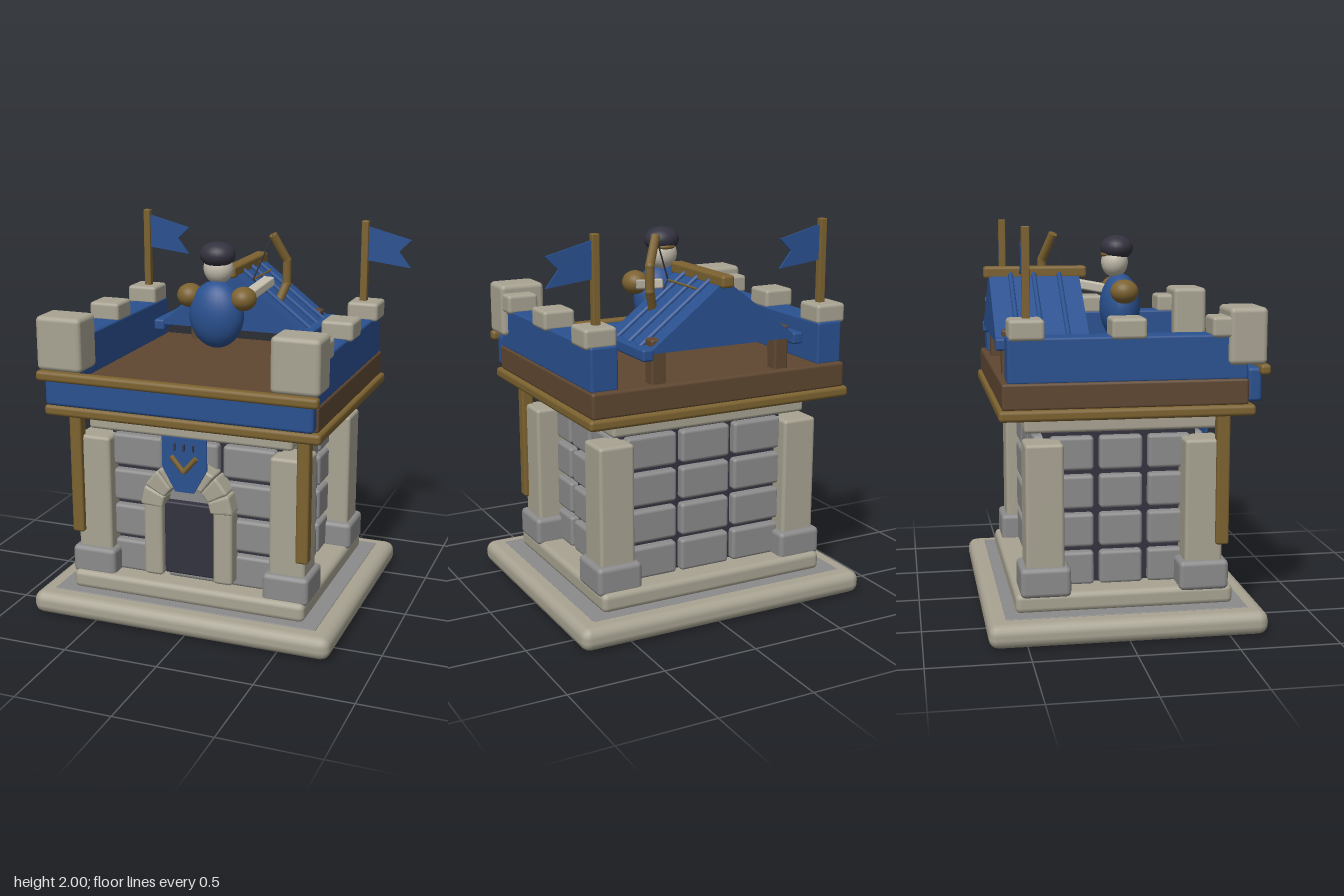
import * as THREE from 'three';
import { RoundedBoxGeometry } from 'three/addons/geometries/RoundedBoxGeometry.js';

const mat = (name, color) => Object.assign(new THREE.MeshStandardMaterial({ color }), { name });

export function createModel() {
  const stone = mat('pale stone', 0xa8a392);
  const grey = mat('grey stone', 0x8b8b8b);
  const dark = mat('dark slate', 0x33323f);
  const blue = mat('blue', 0x2a5190);
  const wood = mat('golden wood', 0x7c6230);
  const brown = mat('brown plank', 0x5f4731);
  const skin = mat('skin', 0xc2bcac);
  const cloth = mat('flag blue', 0x2a5190);
  cloth.side = THREE.DoubleSide;

  const root = new THREE.Group();
  const tower = new THREE.Group();
  tower.name = 'tower';
  tower.position.x = -0.038;
  root.add(tower);

  const add = (name, geo, m, x = 0, y = 0, z = 0) => {
    const mesh = new THREE.Mesh(geo, m);
    mesh.name = name;
    mesh.position.set(x, y, z);
    tower.add(mesh);
    return mesh;
  };
  // rounded box from its limits
  const box = (name, m, x0, x1, y0, y1, z0, z1, r = 0.018) => add(name,
    new RoundedBoxGeometry(x1 - x0, y1 - y0, z1 - z0, 2, r), m,
    (x0 + x1) / 2, (y0 + y1) / 2, (z0 + z1) / 2);
  // the same box on both sides
  const pair = (name, m, x0, x1, ...rest) => {
    box(name, m, x0, x1, ...rest);
    box(name, m, -x1, -x0, ...rest);
  };
  const ball = (name, m, x, y, z, rx, ry, rz) => {
    const b = add(name, new THREE.SphereGeometry(1, 24, 16), m, x, y, z);
    b.scale.set(rx, ry, rz);
    return b;
  };
  // straight rod between two points
  const rod = (name, m, a, b, r, sides = 8) => {
    const p = new THREE.Vector3(...a), q = new THREE.Vector3(...b);
    const d = q.clone().sub(p);
    const c = p.add(q).multiplyScalar(0.5);
    const mesh = add(name, new THREE.CylinderGeometry(r, r, d.length(), sides), m, c.x, c.y, c.z);
    mesh.quaternion.setFromUnitVectors(new THREE.Vector3(0, 1, 0), d.normalize());
    return mesh;
  };
  const plate = (points, depth) => new THREE.ExtrudeGeometry(
    new THREE.Shape(points.map(p => new THREE.Vector2(...p))), { depth, bevelEnabled: false });

  // foundation
  box('baseSlab', stone, -0.813, 0.813, 0.004, 0.124, -0.69, 0.69, 0.05);
  box('basePaving', grey, -0.72, 0.72, 0, 0.128, -0.6, 0.6, 0.004);
  box('step', stone, -0.64, 0.64, 0.12, 0.22, -0.545, 0.545, 0.03);

  // walls: dark core with stone blocks on all four sides
  box('wallCore', dark, -0.465, 0.465, 0.2, 1.01, -0.385, 0.385, 0.01);
  for (const y of [0.3, 0.495, 0.69, 0.885]) {
    for (const i of [-1, 0, 1]) for (const s of [-1, 1]) {
      box('wallBlock', grey, i * 0.307 - 0.14, i * 0.307 + 0.14, y - 0.085, y + 0.085, s * 0.395 - 0.035, s * 0.395 + 0.035);
      box('wallBlock', grey, s * 0.475 - 0.035, s * 0.475 + 0.035, y - 0.085, y + 0.085, i * 0.245 - 0.108, i * 0.245 + 0.108);
    }
  }
  for (const z of [-0.395, 0.395]) {
    pair('cornerPillar', stone, 0.435, 0.625, 0.3, 0.96, z - 0.095, z + 0.095);
    pair('pillarFoot', grey, 0.408, 0.652, 0.2, 0.35, z - 0.125, z + 0.125, 0.025);
  }
  box('cornice', stone, -0.55, 0.55, 1.0, 1.1, -0.485, 0.485);
  pair('frontPost', wood, 0.583, 0.648, 0.43, 1.1, 0.452, 0.518, 0.012);

  // doorway and arch
  box('door', dark, -0.14, 0.14, 0.255, 0.65, 0.38, 0.47, 0.01);
  pair('doorJamb', stone, 0.14, 0.243, 0.245, 0.645, 0.4, 0.505);
  for (let i = 0; i < 7; i++) {
    const a = (i + 0.5) * Math.PI / 7;
    const wedge = new RoundedBoxGeometry(0.12, 0.096, 0.12, 2, 0.014);
    // widen each stone toward its outer end
    const p = wedge.attributes.position;
    for (let k = 0; k < p.count; k++) p.setY(k, p.getY(k) * (0.88 + p.getX(k) * 4.2));
    wedge.computeVertexNormals();
    add('archStone', wedge, stone, Math.cos(a) * 0.187, 0.632 + Math.sin(a) * 0.187, 0.46).rotation.z = a;
  }

  // banner over the door
  add('banner', plate([[-0.12, 1.02], [-0.12, 0.86], [-0.05, 0.735], [0.05, 0.735], [0.12, 0.86], [0.12, 1.02]], 0.012), blue, 0, 0, 0.521);
  for (const x of [-0.05, 0, 0.05]) box('bannerSlot', dark, x - 0.005, x + 0.005, 0.955, 0.992, 0.532, 0.54, 0.002);
  for (const s of [-1, 1]) rod('chevron', wood, [s * 0.068, 0.925, 0.54], [0, 0.845, 0.54], 0.014);

  // platform
  box('lowerTrim', wood, -0.732, 0.732, 1.09, 1.145, -0.622, 0.622);
  box('deck', brown, -0.712, 0.712, 1.14, 1.272, -0.605, 0.59, 0.015);
  box('frontParapet', blue, -0.705, 0.705, 1.155, 1.322, 0.585, 0.655);
  box('frontRail', wood, -0.737, 0.737, 1.287, 1.34, 0.638, 0.692);
  pair('sideParapet', blue, 0.562, 0.705, 1.265, 1.485, -0.578, 0.585, 0.012);
  pair('frontMerlon', stone, 0.492, 0.737, 1.338, 1.614, 0.484, 0.672, 0.025);
  for (const z of [-0.486, 0, 0.485]) pair('sideMerlon', stone, 0.562, 0.73, 1.472, 1.572, z - 0.085, z + 0.085);

  // flags
  for (const x of [-0.633, 0.633]) {
    box('flagPole', wood, x - 0.019, x + 0.019, 1.55, 2.0, -0.499, -0.461, 0.005);
    add('flag', plate([[0.015, 1.97], [0.015, 1.79], [0.25, 1.762], [0.185, 1.845], [0.25, 1.91]], 0.01), cloth, x, 0, -0.485);
  }

  // gabled shelter at the rear
  add('shelterRoof', plate([[-0.42, 1.43], [0.42, 1.43], [0, 1.752]], 0.465), blue, 0, 0, -0.605);
  box('ridgeBeam', wood, -0.035, 0.035, 1.715, 1.777, -0.632, -0.1, 0.015);
  pair('eaveBeam', blue, 0.39, 0.45, 1.395, 1.455, -0.61, -0.13, 0.012);
  for (const s of [-1, 1]) {
    for (const z of [-0.495, -0.375, -0.245]) rod('roofBatten', blue, [s * 0.41, 1.445, z], [0, 1.76, z], 0.013);
    box('shelterPost', brown, s * 0.346 - 0.04, s * 0.346 + 0.04, 1.26, 1.49, -0.575, -0.5, 0.012);
  }

  // archer, facing the rear
  ball('archerBody', blue, 0, 1.56, 0.08, 0.147, 0.176, 0.105);
  ball('archerHead', skin, 0, 1.795, 0.052, 0.078, 0.08, 0.07);
  ball('archerCap', dark, 0, 1.868, 0.063, 0.094, 0.066, 0.085);
  ball('capVisor', wood, 0, 1.835, 0.012, 0.05, 0.018, 0.032);
  for (const s of [-1, 1]) ball('archerShoulder', wood, s * 0.147, 1.65, 0.078, 0.068, 0.062, 0.073);
  const arm = add('archerArm', new RoundedBoxGeometry(0.065, 0.05, 0.28, 2, 0.01), skin, 0.158, 1.668, -0.1);
  arm.lookAt(new THREE.Vector3(0.142, 1.693, -0.24));

  // bow and arrow
  const bow = [[0.193, 1.935, -0.245], [0.255, 1.795, -0.3], [0.255, 1.67, -0.3], [0.218, 1.565, -0.262]];
  for (let i = 0; i < 3; i++) rod('bowLimb', wood, bow[i], bow[i + 1], 0.024);
  for (const i of [1, 2]) ball('bowJoint', wood, ...bow[i], 0.024, 0.024, 0.024);
  const nock = [0.1, 1.7, -0.2];
  rod('bowString', dark, bow[0], nock, 0.004, 6);
  rod('bowString', dark, nock, bow[3], 0.004, 6);
  rod('arrow', wood, nock, [0.1, 1.7, -0.49], 0.006, 6);

  return root;
}
